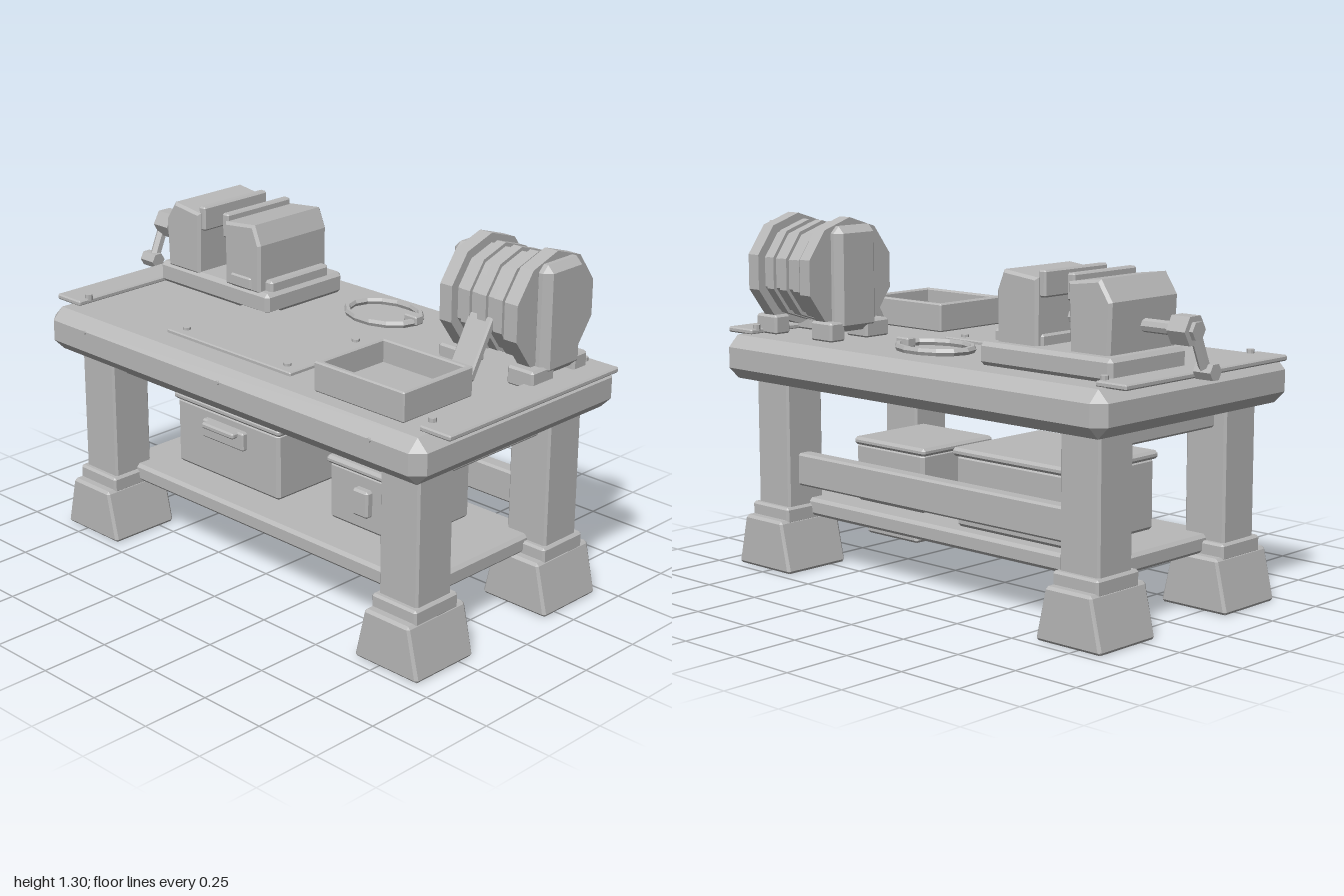
import * as THREE from 'three';
import { ConvexGeometry } from 'three/addons/geometries/ConvexGeometry.js';

const steel = new THREE.MeshStandardMaterial({ color: 0xb8b8b8, flatShading: true });
steel.name = 'grey';

export function createModel() {
  const root = new THREE.Group();
  root.name = 'workbench';

  const add = (name, geometry, parent = root) => {
    const mesh = new THREE.Mesh(geometry, steel);
    mesh.name = name;
    parent.add(mesh);
    return mesh;
  };
  const group = (name) => {
    const g = new THREE.Group();
    g.name = name;
    root.add(g);
    return g;
  };

  // Box with chamfered edges given by its extents; topX narrows the top along x
  const block = (name, [x0, x1], [y0, y1], [z0, z1], bevel = 0.008, parent = root, topX = 1) => {
    const h = [(x1 - x0) / 2, (y1 - y0) / 2, (z1 - z0) / 2];
    const pts = [];
    for (const sx of [-1, 1]) for (const sy of [-1, 1]) for (const sz of [-1, 1])
      for (let axis = 0; axis < 3; axis++) {
        const p = [sx, sy, sz].map((s, i) => s * (h[i] - (i === axis ? 0 : bevel)));
        const t = (p[1] / h[1] + 1) / 2;
        pts.push(new THREE.Vector3(p[0] * (1 + (topX - 1) * t), p[1], p[2]));
      }
    const mesh = add(name, new ConvexGeometry(pts), parent);
    mesh.position.set((x0 + x1) / 2, (y0 + y1) / 2, (z0 + z1) / 2);
    return mesh;
  };
  // Faceted cylinder between two points
  const rod = (name, a, b, radius, sides, parent = root) => {
    const va = new THREE.Vector3(...a), vb = new THREE.Vector3(...b);
    const dir = vb.clone().sub(va);
    const mesh = add(name, new THREE.CylinderGeometry(radius, radius, dir.length(), sides), parent);
    mesh.position.copy(va).add(vb).multiplyScalar(0.5);
    mesh.quaternion.setFromUnitVectors(new THREE.Vector3(0, 1, 0), dir.normalize());
    return mesh;
  };
  const bolt = (x, y, z) => rod('bolt', [x, y - 0.01, z], [x, y + 0.012, z], 0.014, 8);

  // Bench top with bolts along its front edge
  block('benchTop', [-0.875, 0.949], [0.70, 0.86], [-0.505, 0.505], 0.042);
  for (const x of [-0.66, 0.04, 0.74])
    rod('edgeBolt', [x, 0.815, 0.49], [x, 0.815, 0.51], 0.008, 8);

  // Legs with collars and flared feet
  for (const x of [-0.71, 0.784]) for (const z of [-0.325, 0.325]) {
    block('leg', [x - 0.085, x + 0.085], [0.2, 0.71], [z - 0.084, z + 0.084]);
    block('legCollar', [x - 0.098, x + 0.098], [0.175, 0.235], [z - 0.105, z + 0.105]);
    block('foot', [x - 0.142, x + 0.142], [0, 0.19], [z - 0.14, z + 0.14], 0.01, root, 0.68);
  }

  // Aprons, lower shelf and rear stringer
  block('frontApron', [-0.66, 0.74], [0.625, 0.71], [0.29, 0.35]);
  for (const x of [-0.71, 0.784])
    block('sideApron', [x - 0.035, x + 0.035], [0.63, 0.71], [-0.27, 0.27]);
  block('shelf', [-0.72, 0.79], [0.19, 0.255], [-0.31, 0.31], 0.012);
  block('rearStringer', [-0.66, 0.74], [0.31, 0.43], [-0.36, -0.30]);

  // Large storage box with a pull handle
  const large = group('largeBox');
  block('boxBody', [-0.543, -0.01], [0.255, 0.51], [-0.26, 0.175], 0.012, large);
  block('boxLid', [-0.555, 0.002], [0.505, 0.535], [-0.27, 0.185], 0.01, large);
  block('handlePlate', [-0.385, -0.17], [0.405, 0.475], [0.165, 0.198], 0.006, large);
  block('handleLip', [-0.36, -0.195], [0.452, 0.475], [0.18, 0.225], 0.006, large);

  // Small storage box with a latch
  const small = group('smallBox');
  block('boxBody', [0.205, 0.553], [0.255, 0.47], [-0.21, 0.137], 0.012, small);
  block('boxLid', [0.195, 0.56], [0.463, 0.492], [-0.215, 0.145], 0.01, small);
  block('latch', [0.34, 0.412], [0.318, 0.418], [0.125, 0.165], 0.008, small);

  // End plates and centre plate with bolts
  for (const [a, b, boltX] of [[-0.917, -0.79, -0.8], [0.87, 1.0, 0.88]]) {
    block('endPlate', [a, b], [0.858, 0.878], [-0.43, 0.418], 0.005);
    for (const z of [-0.395, 0.365]) bolt(boltX, 0.88, z);
  }
  block('centrePlate', [-0.36, 0.255], [0.856, 0.873], [-0.045, 0.375], 0.004);
  for (const x of [-0.305, 0.197]) for (const z of [0.0, 0.33]) bolt(x, 0.87, z);

  // Oval ring with a clasp
  const ring = add('ring', new THREE.TorusGeometry(0.148, 0.014, 6, 14));
  ring.rotation.x = -Math.PI / 2;
  ring.scale.y = 0.76;
  ring.position.set(0.072, 0.879, -0.275);
  block('ringClasp', [0.175, 0.235], [0.868, 0.903], [-0.308, -0.265], 0.005);

  // Open parts tray
  const tray = group('tray');
  block('trayFloor', [0.41, 0.795], [0.86, 0.885], [0.09, 0.405], 0.004, tray);
  for (const x of [0.402, 0.778])
    block('trayEnd', [x, x + 0.022], [0.86, 0.965], [0.082, 0.412], 0.005, tray);
  for (const z of [0.082, 0.39])
    block('traySide', [0.405, 0.797], [0.86, 0.965], [z, z + 0.022], 0.005, tray);

  // Vise: base, two extruded jaws, jaw plates, screw and crank
  const vise = group('vise');
  block('viseBase', [-0.805, -0.227], [0.86, 0.94], [-0.372, 0.015], 0.014, vise);
  const jaw = (name, pts) => {
    const shape = new THREE.Shape(pts.map(([x, y]) => new THREE.Vector2(x, y)));
    const b = 0.01;
    const geo = new THREE.ExtrudeGeometry(shape, {
      depth: 0.322, bevelEnabled: true, bevelSize: b, bevelOffset: -b, bevelThickness: b, bevelSegments: 1,
    });
    add(name, geo, vise).position.z = -0.32;
  };
  jaw('outerJaw', [[-0.76, 0.93], [-0.593, 0.93], [-0.585, 1.165], [-0.72, 1.182], [-0.768, 1.11]]);
  jaw('innerJaw', [[-0.452, 0.93], [-0.272, 0.93], [-0.27, 1.11], [-0.3, 1.182], [-0.452, 1.165]]);
  block('jawPlate', [-0.6, -0.568], [1.1, 1.19], [-0.315, 0.0], 0.006, vise);
  block('jawPlate', [-0.475, -0.443], [1.1, 1.19], [-0.315, 0.0], 0.006, vise);
  block('jawFoot', [-0.46, -0.24], [0.93, 0.978], [-0.31, -0.02], 0.008, vise);
  block('jawLug', [-0.42, -0.31], [0.935, 0.985], [-0.05, 0.018], 0.008, vise);
  rod('screw', [-0.95, 1.023, -0.155], [-0.44, 1.023, -0.155], 0.023, 8, vise);
  rod('hub', [-0.965, 1.023, -0.15], [-0.89, 1.023, -0.15], 0.054, 6, vise);
  rod('hubCap', [-0.98, 1.023, -0.15], [-0.95, 1.023, -0.15], 0.033, 6, vise);
  rod('crankArm', [-0.96, 1.03, -0.15], [-0.962, 0.885, -0.09], 0.02, 6, vise);
  rod('crankKnob', [-1.0, 0.886, -0.085], [-0.93, 0.886, -0.085], 0.03, 6, vise);

  // Bench grinder: ribbed ten-sided drum, flanges, end housings and feet
  const grinder = group('grinder');
  const drum = (name, x0, x1, radius) => {
    const mesh = add(name, new THREE.CylinderGeometry(radius, radius, x1 - x0, 10), grinder);
    mesh.rotation.z = Math.PI / 2;
    // a corner points straight up
    mesh.geometry.rotateY(Math.PI / 2);
    mesh.position.set((x0 + x1) / 2, 1.092, -0.238);
  };
  drum('motorDrum', 0.56, 0.85, 0.172);
  for (const x of [0.635, 0.705, 0.775]) drum('drumRib', x - 0.018, x + 0.018, 0.185);
  drum('flange', 0.54, 0.592, 0.205);
  drum('flange', 0.818, 0.872, 0.205);
  block('endHousing', [0.495, 0.56], [0.89, 1.27], [-0.335, -0.14], 0.025, grinder);
  block('endHousing', [0.85, 0.917], [0.89, 1.27], [-0.335, -0.14], 0.025, grinder);
  for (const x of [0.5, 0.8]) {
    block('grinderFoot', [x, x + 0.11], [0.858, 0.925], [-0.2, -0.085], 0.008, grinder);
    block('rearFoot', [x, x + 0.11], [0.858, 0.93], [-0.372, -0.3], 0.008, grinder);
  }

  // Sloping tool rest in front of the drum
  const rest = block('toolRest', [0.643, 0.745], [0.865, 1.085], [-0.045, -0.015], 0.006, grinder);
  rest.rotation.x = -0.52;

  return root;
}
